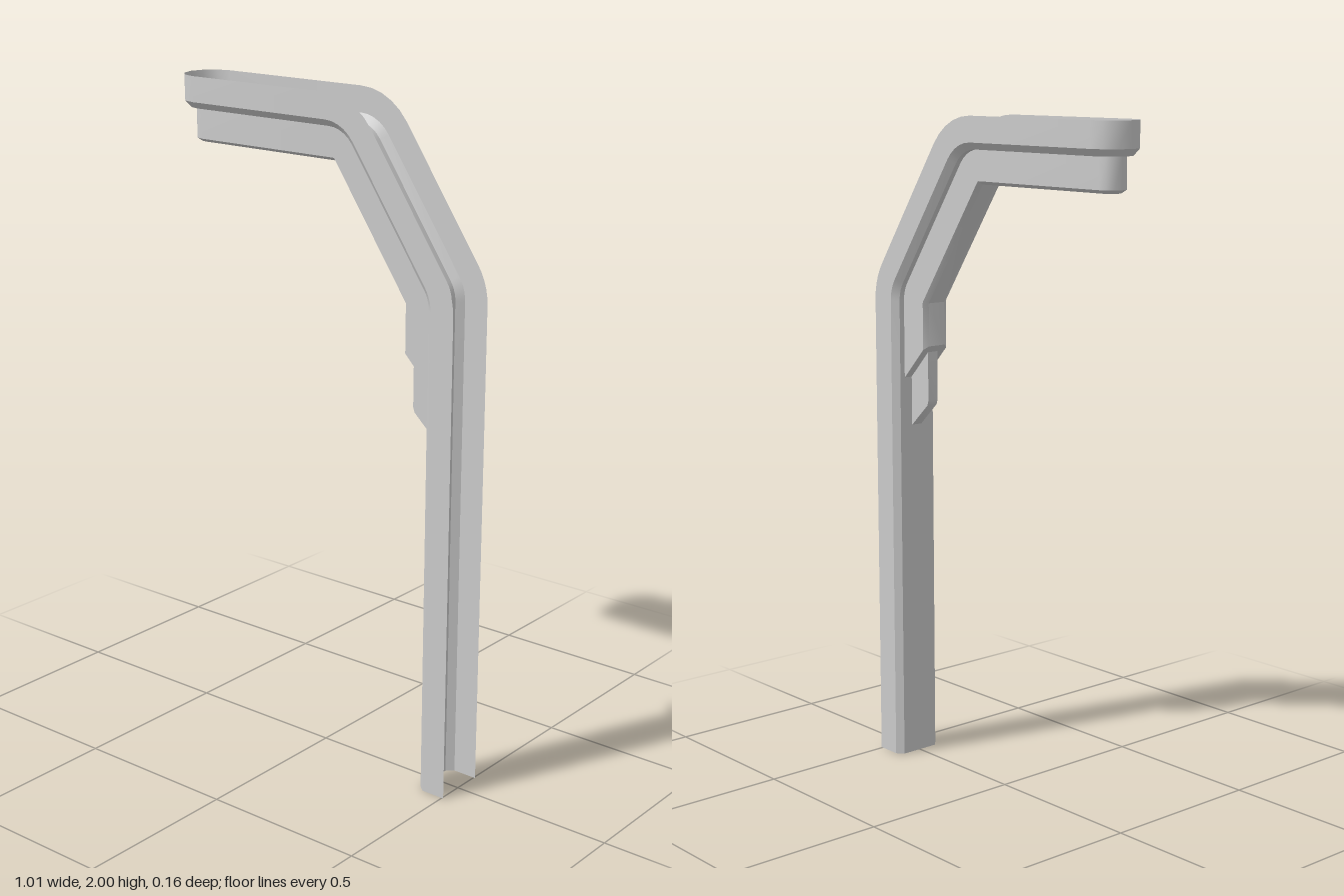
import * as THREE from 'three';
import { toCreasedNormals } from 'three/addons/utils/BufferGeometryUtils.js';

const V = (x, y, z) => new THREE.Vector3(x, y, z);
const material = new THREE.MeshStandardMaterial({ color: 0xcccccc, side: THREE.DoubleSide });

// Bend centres shared by every offset line of the channel
const UPPER = [0.06, 1.805], LOWER = [0.31, 1.44], CAP_X = -0.43;
const SLANT = Math.atan2(LOWER[0] - UPPER[0], UPPER[1] - LOWER[1]);
const BEND_STEPS = 5;

// Collects triangles, skipping collapsed ones, and makes a named mesh
class Sheet {
  constructor() { this.pos = []; }
  tri(a, b, c) {
    const area = b.clone().sub(a).cross(c.clone().sub(a)).length();
    if (area > 1e-9) for (const p of [a, b, c]) this.pos.push(p.x, p.y, p.z);
  }
  quad(a, b, c, d) { this.tri(a, b, c); this.tri(a, c, d); }
  band(outer, inner) {
    for (let i = 0; i < outer.length - 1; i++) this.quad(outer[i], outer[i + 1], inner[i + 1], inner[i]);
  }
  // Fills a ring by joining its two mirrored halves
  fill(r) {
    const n = r.length;
    for (let i = 0; i < (n - 1) / 2; i++) this.quad(r[i], r[i + 1], r[n - 2 - i], r[n - 1 - i]);
  }
  mesh(name) {
    const g = new THREE.BufferGeometry();
    g.setAttribute('position', new THREE.Float32BufferAttribute(this.pos, 3));
    const m = new THREE.Mesh(toCreasedNormals(g, 0.6), material);
    m.name = name;
    return m;
  }
}

// U-shaped line: up the post, round both bends, round the tip, and back.
// d = distance out from the innermost line, w = half width
function ring(d, w, endYs) {
  const side = endYs.map(y => V(LOWER[0] + d, y, w));
  const bend = ([cx, cy], a0, a1) => {
    for (let i = 0; i <= BEND_STEPS; i++) {
      const a = a0 + (a1 - a0) * i / BEND_STEPS;
      side.push(V(cx + d * Math.cos(a), cy + d * Math.sin(a), w));
    }
  };
  bend(LOWER, 0, SLANT);
  bend(UPPER, SLANT, Math.PI / 2);
  const tip = [];
  for (let i = 0; i <= 6; i++) {
    const a = Math.PI * i / 6;
    tip.push(V(CAP_X - w * Math.sin(a), UPPER[1] + d, w * Math.cos(a)));
  }
  const back = side.map(p => V(p.x, p.y, -p.z)).reverse();
  return [...side, ...tip, ...back];
}

export function createModel() {
  const group = new THREE.Group();
  const floorX = 0.41, ribEnd = 1.205, tabEnd = 1.055, tabW = 0.018;
  const tail = [0, ribEnd];

  // Open outer channel: side walls, chamfer, floor shelf
  const channel = new Sheet();
  const rim = ring(0.195, 0.08, tail);
  const wallFoot = ring(0.12, 0.08, tail);
  const floorEdge = ring(0.1, 0.062, tail);
  const ribTop = ring(0.1, 0.045, [ribEnd]);
  channel.band(rim, wallFoot);
  channel.band(wallFoot, floorEdge);
  channel.band(floorEdge.slice(1, -1), ribTop);
  // Post floor, with a gap for the tab
  const plate = (z1, z2, y0, y1) => channel.quad(
    V(floorX, y0, z1), V(floorX, y1, z1), V(floorX, y1, z2), V(floorX, y0, z2));
  plate(0.062, -0.062, 0, tabEnd);
  plate(0.062, tabW, tabEnd, ribEnd);
  plate(-tabW, -0.062, tabEnd, ribEnd);
  group.add(channel.mesh('channel'));

  // Narrower hollow rib along the inner side of the bend
  const rib = new Sheet();
  const ribFoot = ring(0.01, 0.045, [1.2995]);
  const ribFloor = ring(0, 0.03, [1.31]);
  rib.band(ribTop, ribFoot);
  rib.band(ribFoot, ribFloor);
  rib.fill(ribFloor);
  // Sloping end of the rib, open where the tab joins
  const slope = (d0, d1, z0, z1, z2, z3) => {
    const p = (d, z) => V(LOWER[0] + d, 1.31 - 1.05 * d, z);
    rib.quad(p(d0, z0), p(d1, z1), p(d1, z2), p(d0, z3));
  };
  slope(0.01, 0, 0.045, 0.03, -0.03, -0.045);
  slope(0.02, 0.01, 0.045, 0.045, -0.045, -0.045);
  slope(0.1, 0.02, 0.045, 0.045, tabW, tabW);
  slope(0.1, 0.02, -tabW, -tabW, -0.045, -0.045);
  group.add(rib.mesh('rib'));

  // Thin hollow tab below the rib
  const tab = new Sheet();
  const outline = [[floorX, tabEnd], [0.335, 1.125], [0.33, 1.14], [0.33, 1.289], [floorX, ribEnd]];
  const left = outline.map(([x, y]) => V(x, y, tabW));
  const right = outline.map(([x, y]) => V(x, y, -tabW));
  for (let i = 0; i < 3; i++) tab.quad(left[i], left[i + 1], right[i + 1], right[i]);
  for (let i = 1; i < 4; i++) {
    tab.tri(left[0], left[i + 1], left[i]);
    tab.tri(right[0], right[i], right[i + 1]);
  }
  group.add(tab.mesh('tab'));
  return group;
}
